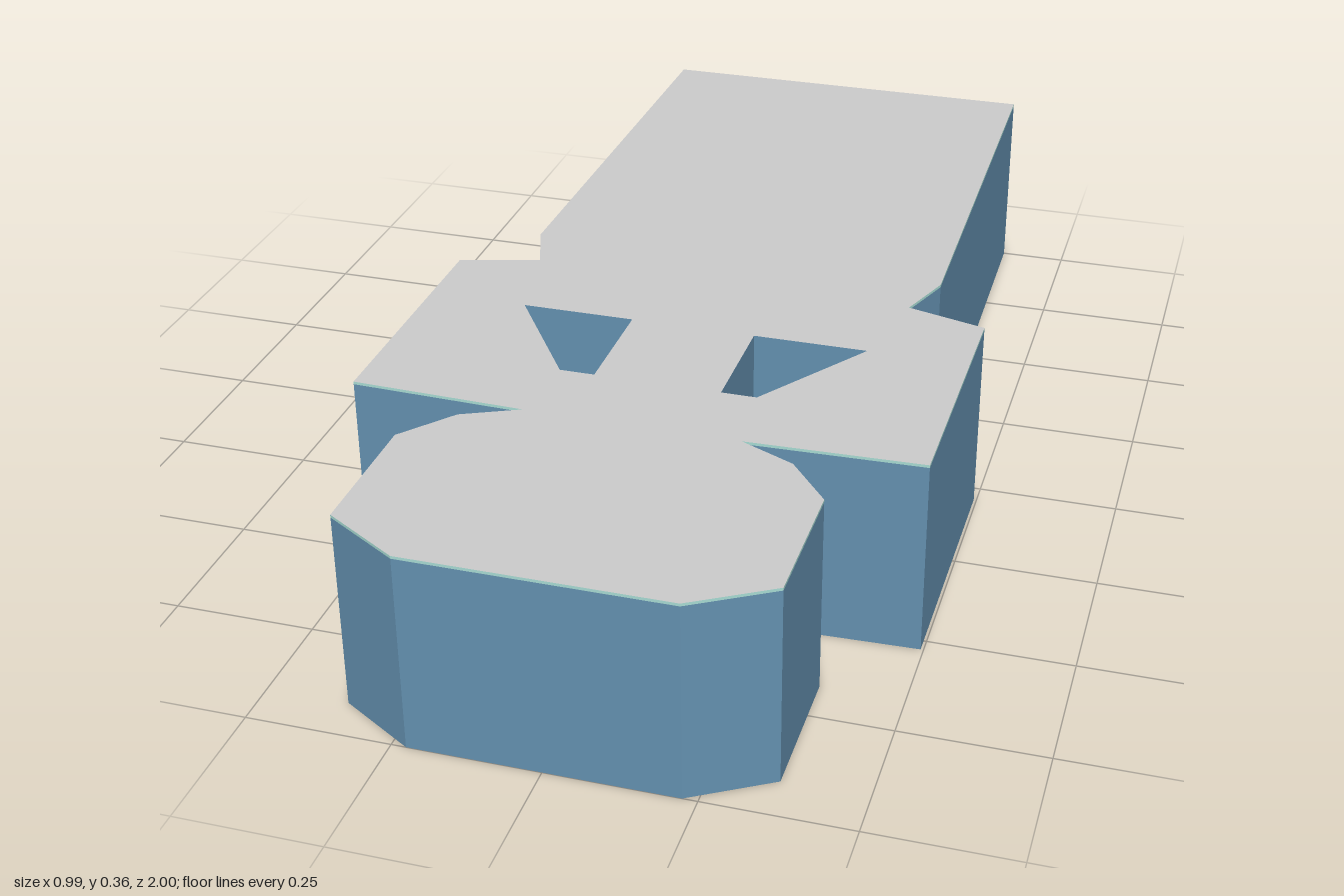
import * as THREE from 'three';

const HEIGHT = 0.357;
const TRIM = 0.005;

// Half outline as [x, z], from the back edge to the front edge
const half = [
  [0.372, -1], [0.388, -0.105], [0.351, 0], [0.495, 0.04], [0.495, 0.525],
  [0.188, 0.535], [0.285, 0.58], [0.358, 0.67], [0.358, 0.92], [0.225, 1],
];
const mirrored = (pts) => pts.map(([x, z]) => [-x, z]).reverse();
const outline = [...half, ...mirrored(half)];

// Window cut-out in the wide middle section, mirrored for the other side
const window = [[0.112, 0.18], [0.112, 0.39], [0.174, 0.39], [0.315, 0.18]];
const holes = [window, mirrored(window)];

const toPoints = (pts) => pts.map(([x, z]) => new THREE.Vector2(x, -z));

// Open vertical wall following a closed loop
function wallGeometry(pts, y0, y1) {
  const pos = [];
  pts.forEach(([ax, az], i) => {
    const [bx, bz] = pts[(i + 1) % pts.length];
    pos.push(ax, y0, az, ax, y1, az, bx, y1, bz);
    pos.push(ax, y0, az, bx, y1, bz, bx, y0, bz);
  });
  const geo = new THREE.BufferGeometry();
  geo.setAttribute('position', new THREE.Float32BufferAttribute(pos, 3));
  geo.computeVertexNormals();
  return geo;
}

export function createModel() {
  const model = new THREE.Group();
  model.name = 'cutter';
  const material = (color) => new THREE.MeshStandardMaterial({ color, side: THREE.DoubleSide });
  const grey = material(0xcccccc);
  const blue = material(0x6491b0);
  const teal = material(0xa8dcd4);
  const add = (name, geo, mat) => {
    const mesh = new THREE.Mesh(geo, mat);
    mesh.name = name;
    model.add(mesh);
  };

  // Flat lid with two window openings
  const shape = new THREE.Shape(toPoints(outline));
  shape.holes = holes.map((h) => new THREE.Path(toPoints(h)));
  const lid = new THREE.ShapeGeometry(shape);
  lid.rotateX(-Math.PI / 2).translate(0, HEIGHT, 0);
  add('lid', lid, grey);

  // Thin outer wall, open at the bottom, with a pale rim under the lid
  add('outerWall', wallGeometry(outline, 0, HEIGHT - TRIM), blue);
  add('rim', wallGeometry(outline, HEIGHT - TRIM, HEIGHT), teal);

  // Walls lining the windows
  holes.forEach((h, i) => add(i ? 'rightWindowWall' : 'leftWindowWall', wallGeometry(h, 0, HEIGHT), blue));

  return model;
}
